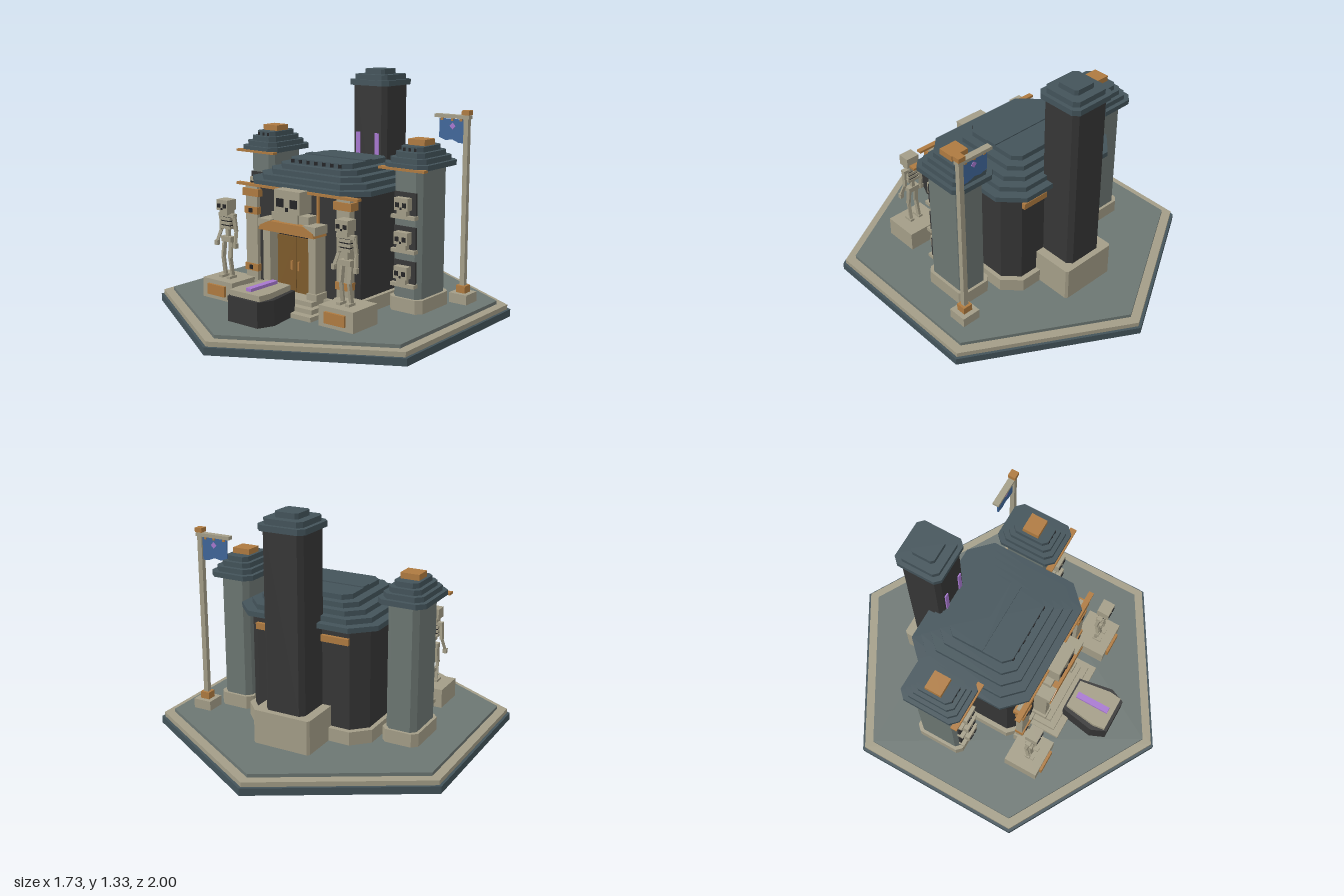
import * as THREE from 'three';

const mat = (name, color) => Object.assign(new THREE.MeshStandardMaterial({ color }), { name });
const M = {
  slate: mat('roof slate', 0x43535a),
  bone: mat('bone stone', 0xa39d87),
  grey: mat('grey stone', 0x6c7672),
  charcoal: mat('charcoal wall', 0x363636),
  copper: mat('copper trim', 0xae7a40),
  wood: mat('door wood', 0x7d5a2b),
  purple: mat('purple glow', 0xa777cf),
  blue: mat('banner blue', 0x3f6699),
  black: mat('black recess', 0x232325),
};

function add(parent, name, geo, material) {
  const m = new THREE.Mesh(geo, material);
  m.name = name;
  parent.add(m);
  return m;
}

// Box given by its limits on each axis
function box(parent, name, material, x0, x1, y0, y1, z0, z1) {
  const m = add(parent, name, new THREE.BoxGeometry(Math.abs(x1 - x0), y1 - y0, z1 - z0), material);
  m.position.set((x0 + x1) / 2, (y0 + y1) / 2, (z0 + z1) / 2);
  return m;
}

// Upright prism over an [x, z] outline
function prism(parent, name, material, pts, y0, y1) {
  const shape = new THREE.Shape(pts.map(([x, z]) => new THREE.Vector2(x, -z)));
  const geo = new THREE.ExtrudeGeometry(shape, { depth: y1 - y0, bevelEnabled: false });
  geo.rotateX(-Math.PI / 2).translate(0, y0, 0);
  return add(parent, name, geo, material);
}

// Block with cut corners: centre x/z, half sizes, corner cut
function block(parent, name, material, cx, cz, a, b, c, y0, y1) {
  const pts = [[a, b - c], [a - c, b], [c - a, b], [-a, b - c], [-a, c - b], [c - a, -b], [a - c, -b], [a, c - b]];
  return prism(parent, name, material, pts.map(([x, z]) => [x + cx, z + cz]), y0, y1);
}

// Square bar between two points
function bar(parent, name, material, p, q, t) {
  const a = new THREE.Vector3(...p), b = new THREE.Vector3(...q);
  const m = add(parent, name, new THREE.BoxGeometry(t, a.distanceTo(b), t), material);
  m.position.copy(a).add(b).multiplyScalar(0.5);
  m.quaternion.setFromUnitVectors(new THREE.Vector3(0, 1, 0), b.sub(a).normalize());
}

function group(parent, name, x = 0, y = 0, z = 0) {
  const g = new THREE.Group();
  g.name = name;
  g.position.set(x, y, z);
  parent.add(g);
  return g;
}

// Skull of half width w and height h, back face at z = 0
function skull(parent, x, y, z, w, h, d) {
  const g = group(parent, 'skull', x, y, z);
  box(g, 'cranium', M.bone, -w, w, h * 0.3, h, 0, d);
  box(g, 'jaw', M.bone, -w * 0.7, w * 0.7, 0, h * 0.3, 0, d * 0.85);
  for (const s of [-1, 1])
    box(g, 'eyeSocket', M.black, s * w * 0.25, s * w * 0.8, h * 0.48, h * 0.74, d - 0.003, d + 0.004);
  box(g, 'noseHole', M.black, -w * 0.1, w * 0.1, h * 0.36, h * 0.48, d - 0.003, d + 0.004);
}

function skeleton(parent, x, y, z) {
  const g = group(parent, 'skeletonStatue', x, y, z);
  skull(g, 0, 0.36, -0.025, 0.04, 0.085, 0.07);
  box(g, 'spine', M.bone, -0.01, 0.01, 0.21, 0.37, -0.012, 0.008);
  box(g, 'ribcageCore', M.black, -0.032, 0.032, 0.28, 0.345, -0.018, 0.018);
  for (let i = 0; i < 3; i++)
    box(g, 'rib', M.bone, -0.038, 0.038, 0.28 + i * 0.024, 0.296 + i * 0.024, -0.022, 0.024);
  box(g, 'shoulders', M.bone, -0.058, 0.058, 0.345, 0.365, -0.014, 0.014);
  box(g, 'pelvis', M.bone, -0.036, 0.036, 0.205, 0.235, -0.018, 0.018);
  for (const s of [-1, 1]) {
    bar(g, 'thigh', M.bone, [s * 0.024, 0.22, 0], [s * 0.026, 0.115, 0.012], 0.02);
    bar(g, 'shin', M.bone, [s * 0.026, 0.12, 0.012], [s * 0.028, 0.01, -0.005], 0.018);
    box(g, 'foot', M.bone, s * 0.016, s * 0.042, 0, 0.014, -0.02, 0.035);
    bar(g, 'upperArm', M.bone, [s * 0.05, 0.355, 0], [s * 0.056, 0.265, -0.008], 0.018);
    bar(g, 'forearm', M.bone, [s * 0.056, 0.27, -0.008], [s * 0.07, 0.2, 0.014], 0.016);
    box(g, 'hand', M.bone, s * 0.06, s * 0.082, 0.178, 0.205, 0.004, 0.026);
  }
}

export function createModel() {
  const root = new THREE.Group();
  root.name = 'mausoleum';

  // Hexagonal base
  for (const [name, m, r, y0, y1] of [['baseFoot', M.slate, 1, 0, 0.04],
    ['baseRim', M.bone, 0.983, 0.04, 0.066], ['courtyard', M.grey, 0.925, 0.066, 0.085]]) {
    const hex = Array.from({ length: 6 }, (_, i) => [r * Math.sin(i * Math.PI / 3), r * Math.cos(i * Math.PI / 3)]);
    prism(root, name, m, hex, y0, y1);
  }

  // Main hall with stepped roof
  const hall = group(root, 'mainHall');
  block(hall, 'hallPlinth', M.bone, 0, -0.05, 0.385, 0.35, 0.09, 0.085, 0.16);
  block(hall, 'hallWalls', M.charcoal, 0, -0.045, 0.36, 0.325, 0.08, 0.16, 0.73);
  for (let i = 0; i < 5; i++)
    block(hall, 'roofTier', M.slate, 0, -0.063, 0.415 - i * 0.05, 0.367 - i * 0.043, 0.115 - i * 0.018, 0.72 + i * 0.028, 0.748 + i * 0.028);
  box(hall, 'roofRidge', M.slate, -0.215, 0.215, 0.85, 0.866, -0.092, -0.03);
  for (let i = -3; i <= 3; i++)
    box(hall, 'roofVent', M.black, i * 0.055 - 0.01, i * 0.055 + 0.01, 0.836, 0.855, 0.128, 0.136);
  box(hall, 'frontCornice', M.copper, -0.425, 0.425, 0.712, 0.726, 0.285, 0.315);

  // Hall columns with bands, rear trims
  for (const s of [-1, 1]) {
    const c = group(hall, 'column');
    box(c, 'shaft', M.bone, s * 0.28, s * 0.365, 0.16, 0.712, 0.262, 0.303);
    box(c, 'columnFoot', M.bone, s * 0.265, s * 0.375, 0.085, 0.18, 0.255, 0.308);
    box(c, 'capital', M.copper, s * 0.262, s * 0.38, 0.655, 0.697, 0.25, 0.313);
    for (const y of [0.555, 0.232]) {
      box(c, 'band', M.copper, s * 0.274, s * 0.368, y, y + 0.04, 0.258, 0.311);
      box(c, 'stud', M.black, s * 0.31, s * 0.335, y + 0.008, y + 0.032, 0.308, 0.315);
    }
    box(hall, 'rearTrim', M.copper, s * 0.12, s * 0.28, 0.637, 0.672, -0.39, -0.365);
    box(hall, 'bayTrim', M.copper, s * 0.135, s * 0.148, 0.56, 0.715, 0.278, 0.292);
  }

  // Entrance: steps, doors, frame, pediment, skull
  const entry = group(root, 'entrance');
  [[0.248, 0.48], [0.222, 0.44], [0.19, 0.4]].forEach(([w, z], i) =>
    box(entry, 'step', M.bone, -w, w, 0.085 + i * 0.025, 0.11 + i * 0.025, 0.2, z));
  box(entry, 'doorRecess', M.black, -0.137, 0.137, 0.16, 0.51, 0.275, 0.288);
  for (const s of [-1, 1]) {
    box(entry, 'doorLeaf', M.wood, s * 0.002, s * 0.133, 0.16, 0.465, 0.285, 0.3);
    box(entry, 'doorHandle', M.copper, s * 0.018, s * 0.03, 0.285, 0.335, 0.3, 0.312);
    box(entry, 'doorJamb', M.bone, s * 0.135, s * 0.185, 0.16, 0.51, 0.275, 0.36);
    box(entry, 'jambFoot', M.bone, s * 0.13, s * 0.198, 0.16, 0.195, 0.275, 0.37);
    box(entry, 'jambCap', M.bone, s * 0.115, s * 0.2, 0.515, 0.56, 0.275, 0.382);
  }
  const arch = new THREE.Shape([[-0.195, 0.5], [0.195, 0.5], [0.185, 0.525], [0.12, 0.555], [-0.12, 0.555], [-0.185, 0.525]]
    .map((p) => new THREE.Vector2(...p)));
  add(entry, 'pediment', new THREE.ExtrudeGeometry(arch, { depth: 0.11, bevelEnabled: false }), M.copper).position.z = 0.277;
  skull(entry, 0, 0.555, 0.28, 0.09, 0.175, 0.095);
  for (const s of [-1, 1])
    box(entry, 'skullCheek', M.bone, s * 0.06, s * 0.13, 0.555, 0.6, 0.28, 0.35);

  // Side towers with skull niches
  for (const s of [-1, 1]) {
    const t = group(root, 'sideTower', s * 0.515, 0, -0.117);
    block(t, 'towerPlinth', M.bone, 0, 0, 0.105, 0.15, 0.03, 0.085, 0.16);
    block(t, 'towerWalls', M.grey, 0, 0, 0.088, 0.134, 0.028, 0.16, 0.87);
    box(t, 'eaveTrim', M.copper, -0.143, 0.143, 0.85, 0.863, 0.15, 0.187);
    for (let i = 0; i < 4; i++)
      block(t, 'towerRoofTier', M.slate, 0, 0, 0.135 - i * 0.022, 0.178 - i * 0.024, 0.04 - i * 0.005, 0.856 + i * 0.028, 0.884 + i * 0.028);
    for (const x of [-0.035, 0, 0.035])
      box(t, 'towerVent', M.black, x - 0.007, x + 0.007, 0.943, 0.96, 0.1, 0.108);
    box(t, 'towerCap', M.copper, -0.053, 0.053, 0.966, 1.0, -0.048, 0.048);
    for (const y of [0.245, 0.43, 0.612]) {
      box(t, 'niche', M.charcoal, -0.068, 0.068, y, y + 0.12, 0.128, 0.142);
      box(t, 'nicheShelf', M.bone, -0.075, 0.075, y - 0.02, y, 0.128, 0.165);
      skull(t, 0, y, 0.138, 0.042, 0.095, 0.045);
    }
  }

  // Rear tower
  const rear = group(root, 'rearTower', 0, 0, -0.455);
  block(rear, 'rearPlinth', M.bone, 0, 0, 0.17, 0.152, 0.012, 0.085, 0.275);
  block(rear, 'rearWalls', M.charcoal, 0, 0, 0.118, 0.118, 0.025, 0.275, 1.245);
  [[0.138, 1.24], [0.115, 1.27], [0.068, 1.3]].forEach(([r, y]) =>
    block(rear, 'rearRoofTier', M.slate, 0, 0, r, r, r * 0.22, y, y + 0.031));
  for (const s of [-1, 1])
    box(rear, 'glowSlit', M.purple, s * 0.053, s * 0.08, 0.74, 0.97, 0.115, 0.125);

  // Coffin altar
  const altar = group(root, 'coffinAltar');
  const coffin = (f, m, h, z0, z1, z2) => [[f, z0], [m, z1], [h, z2], [-h, z2], [-m, z1], [-f, z0]].reverse();
  prism(altar, 'coffinBody', M.charcoal, coffin(0.105, 0.14, 0.103, 0.435, 0.635, 0.722), 0.085, 0.22);
  prism(altar, 'coffinLid', M.bone, coffin(0.085, 0.112, 0.103, 0.447, 0.635, 0.705), 0.22, 0.25);
  box(altar, 'glowStrip', M.purple, -0.018, 0.018, 0.25, 0.267, 0.472, 0.675);

  // Statues on pedestals
  for (const s of [-1, 1]) {
    const p = group(root, 'statue', s * 0.418, 0, 0.385);
    box(p, 'pedestal', M.bone, -0.112, 0.112, 0.085, 0.195, -0.103, 0.1);
    box(p, 'plaque', M.copper, -0.065, 0.065, 0.11, 0.17, 0.1, 0.115);
    skeleton(p, 0, 0.195, 0.01);
  }

  // Flagpole and banner
  const flag = group(root, 'flagpole', 0.66, 0, -0.335);
  box(flag, 'poleBase', M.bone, -0.055, 0.055, 0.085, 0.14, -0.055, 0.055);
  box(flag, 'poleSocket', M.copper, -0.028, 0.028, 0.14, 0.18, -0.028, 0.028);
  box(flag, 'pole', M.bone, -0.014, 0.014, 0.18, 1.12, -0.014, 0.014);
  box(flag, 'poleCap', M.copper, -0.022, 0.022, 1.115, 1.14, -0.022, 0.022);
  box(flag, 'crossArm', M.bone, -0.195, 0.02, 1.093, 1.112, -0.018, 0.018);
  const cloth = new THREE.Shape([[-0.172, 1.088], [-0.172, 0.985], [-0.13, 0.97], [-0.09, 0.978], [-0.05, 0.962], [-0.014, 0.96], [-0.014, 1.088]]
    .map((p) => new THREE.Vector2(...p)));
  add(flag, 'banner', new THREE.ExtrudeGeometry(cloth, { depth: 0.008, bevelEnabled: false }), M.blue).position.z = -0.004;
  for (const x of [-0.155, -0.09, -0.035])
    box(flag, 'bannerRing', M.copper, x - 0.007, x + 0.007, 1.078, 1.097, -0.009, 0.009);
  const gem = box(flag, 'bannerDiamond', M.purple, -0.1, -0.074, 1.037, 1.063, -0.006, 0.007);
  gem.rotation.z = Math.PI / 4;

  return root;
}
